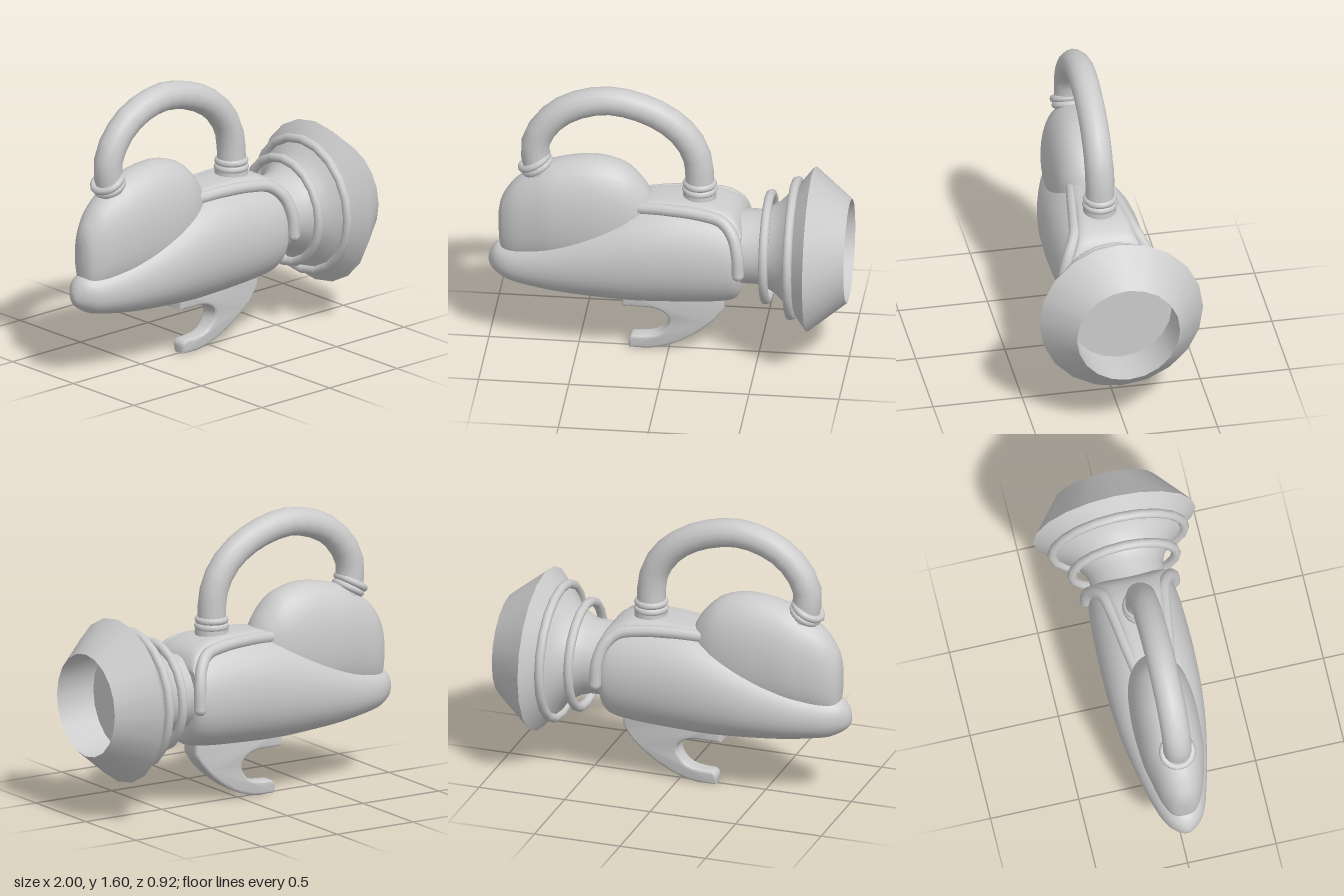
import * as THREE from 'three';
import { toCreasedNormals } from 'three/addons/utils/BufferGeometryUtils.js';

const material = new THREE.MeshStandardMaterial({ color: 0xcccccc, side: THREE.DoubleSide });
const AXIS_Y = 0.66; // height of the nozzle axis

// Smooth hull along x from stations [x, bottom, top, half width]
function loft(stations, power, steps = 4, sides = 32) {
  const heights = new THREE.CatmullRomCurve3(
    stations.map(([x, b, t]) => new THREE.Vector3(x, b, t)), false, 'catmullrom', 0.5);
  const widths = new THREE.CatmullRomCurve3(
    stations.map((s) => new THREE.Vector3(s[3], 0, 0)), false, 'catmullrom', 0.5);
  const rings = (stations.length - 1) * steps;
  const pos = [], index = [];
  const round = (v) => Math.sign(v) * Math.abs(v) ** (2 / power);
  for (let i = 0; i <= rings; i++) {
    const p = heights.getPoint(i / rings), w = widths.getPoint(i / rings).x;
    for (let j = 0; j < sides; j++) {
      const a = (j / sides) * Math.PI * 2;
      pos.push(p.x, (p.y + p.z) / 2 + ((p.z - p.y) / 2) * round(Math.cos(a)), w * round(Math.sin(a)));
    }
  }
  for (let i = 0; i < rings; i++) {
    for (let j = 0; j < sides; j++) {
      const k = (j + 1) % sides, a = i * sides, b = a + sides;
      index.push(a + j, a + k, b + j, a + k, b + k, b + j);
    }
  }
  // End caps
  const end = rings * sides;
  for (let j = 1; j < sides - 1; j++) {
    index.push(0, j + 1, j, end, end + j, end + j + 1);
  }
  const g = new THREE.BufferGeometry();
  g.setAttribute('position', new THREE.Float32BufferAttribute(pos, 3));
  g.setIndex(index);
  return toCreasedNormals(g, 0.9);
}

const curve = (points) => new THREE.CatmullRomCurve3(points.map((p) => new THREE.Vector3(...p)));

export function createModel() {
  const model = new THREE.Group();
  const add = (name, geometry, parent = model) => {
    const mesh = new THREE.Mesh(geometry, material);
    mesh.name = name;
    parent.add(mesh);
    return mesh;
  };

  // Teardrop body
  add('body', loft([
    [-1, 0.48, 0.52, 0.015], [-0.985, 0.45, 0.56, 0.045], [-0.95, 0.42, 0.6, 0.085],
    [-0.88, 0.385, 0.625, 0.125], [-0.75, 0.36, 0.665, 0.165], [-0.6, 0.34, 0.73, 0.202],
    [-0.4, 0.325, 0.82, 0.24], [-0.2, 0.315, 0.9, 0.26], [0, 0.32, 0.935, 0.265],
    [0.2, 0.33, 0.93, 0.26], [0.33, 0.345, 0.91, 0.25], [0.385, 0.37, 0.88, 0.235],
    [0.41, 0.42, 0.83, 0.2], [0.412, 0.5, 0.78, 0.14],
  ], 2.15));

  // Domed tank set into the back of the body
  add('tank', loft([
    [-0.945, 0.68, 0.8, 0.02], [-0.935, 0.58, 0.86, 0.055], [-0.91, 0.52, 0.92, 0.085],
    [-0.85, 0.5, 1.0, 0.12], [-0.75, 0.5, 1.075, 0.15], [-0.63, 0.5, 1.135, 0.175],
    [-0.42, 0.5, 1.17, 0.183], [-0.25, 0.55, 1.13, 0.165], [-0.15, 0.62, 1.04, 0.125],
    [-0.1, 0.7, 0.96, 0.08], [-0.08, 0.78, 0.9, 0.03],
  ], 2.2));

  // Saddle plate over the front of the body
  add('saddle', loft([
    [-0.16, 0.86, 0.935, 0.1], [-0.1, 0.83, 0.955, 0.11], [0.1, 0.8, 0.967, 0.13],
    [0.25, 0.78, 0.957, 0.15], [0.34, 0.74, 0.925, 0.165], [0.39, 0.7, 0.885, 0.185],
    [0.42, 0.66, 0.83, 0.21],
  ], 5));

  // Rounded trim down both sides of the saddle
  for (const s of [1, -1]) {
    const path = curve([
      [-0.15, 0.91, s * 0.095], [0, 0.92, s * 0.12], [0.18, 0.915, s * 0.145],
      [0.31, 0.89, s * 0.17], [0.375, 0.825, s * 0.21], [0.405, 0.72, s * 0.243],
      [0.41, 0.605, s * 0.25],
    ]);
    const name = s > 0 ? 'leftTrim' : 'rightTrim';
    add(name, new THREE.TubeGeometry(path, 30, 0.034, 10));
    for (const t of [0, 1]) {
      add(name + 'End', new THREE.SphereGeometry(0.034, 10, 8)).position.copy(path.getPoint(t));
    }
  }

  // Hollow nozzle, turned about the x axis
  const nozzle = new THREE.Group();
  nozzle.name = 'nozzle';
  nozzle.position.y = AXIS_Y;
  model.add(nozzle);
  const profile = [
    [0, 0.36], [0.21, 0.36], [0.21, 0.5], [0.225, 0.55], [0.26, 0.61], [0.31, 0.66], [0.37, 0.7],
    [0.37, 0.72], [0.46, 0.79], [0.29, 1], [0.29, 0.76], [0, 0.76],
  ].map(([r, x]) => new THREE.Vector2(r, x));
  add('nozzleBell', toCreasedNormals(new THREE.LatheGeometry(profile, 20), 0.5), nozzle)
    .rotation.z = -Math.PI / 2;
  for (const [x, outer] of [[0.553, 0.322], [0.695, 0.402]]) {
    const ring = add('nozzleRing', new THREE.TorusGeometry(outer - 0.026, 0.026, 10, 20), nozzle);
    ring.rotation.y = Math.PI / 2;
    ring.position.x = x;
  }

  // Arched handle
  add('handle', new THREE.TubeGeometry(curve([
    [-0.72, 1.06, 0], [-0.742, 1.15, 0], [-0.738, 1.25, 0], [-0.67, 1.37, 0], [-0.55, 1.465, 0],
    [-0.34, 1.52, 0], [-0.11, 1.47, 0], [0.05, 1.37, 0], [0.135, 1.255, 0], [0.165, 1.15, 0],
    [0.17, 0.93, 0],
  ]), 18, 0.08, 16));

  // Collars where the handle meets the tank and the saddle
  const collar = (name, x, y, tilt, rings) => {
    const group = new THREE.Group();
    group.name = name;
    group.position.set(x, y, 0);
    group.rotation.z = tilt;
    model.add(group);
    for (const [h, r] of rings) {
      const ring = add(name + 'Ring', new THREE.TorusGeometry(r, 0.021, 8, 20), group);
      ring.rotation.x = Math.PI / 2;
      ring.position.y = h;
    }
    return group;
  };
  const rear = collar('rearCollar', -0.73, 1.09, 0.52, [[0, 0.075], [0.035, 0.082]]);
  add('rearCollarBase', new THREE.CylinderGeometry(0.08, 0.065, 0.1, 20), rear).position.y = -0.03;
  const front = collar('frontCollar', 0.17, 1.0, 0, [[0, 0.077], [0.036, 0.074]]);
  add('frontCollarBase', new THREE.CylinderGeometry(0.092, 0.095, 0.08, 20), front).position.y = -0.04;

  // Hooked trigger under the body, thinner toward its tip
  const hook = new THREE.Shape();
  hook.moveTo(-0.24, 0.36);
  hook.lineTo(-0.24, 0.285);
  hook.lineTo(-0.11, 0.283);
  hook.bezierCurveTo(0.0, 0.275, 0.06, 0.2, -0.01, 0.12);
  hook.bezierCurveTo(-0.05, 0.07, -0.1, 0.065, -0.19, 0.062);
  hook.quadraticCurveTo(-0.207, 0.06, -0.207, 0.04);
  hook.lineTo(-0.205, 0.018);
  hook.lineTo(-0.12, 0.016);
  hook.bezierCurveTo(0.05, 0.03, 0.24, 0.18, 0.3, 0.3);
  hook.lineTo(0.3, 0.38);
  const trigger = new THREE.ExtrudeGeometry(hook, {
    depth: 0.09, bevelThickness: 0.018, bevelSize: 0.016, bevelSegments: 3, curveSegments: 10,
  });
  trigger.translate(0, 0, -0.045);
  const p = trigger.attributes.position;
  for (let i = 0; i < p.count; i++) {
    p.setZ(i, p.getZ(i) * THREE.MathUtils.clamp(0.6 + p.getY(i) * 1.8, 0.6, 1));
  }
  add('trigger', toCreasedNormals(trigger, 0.7));

  return model;
}
